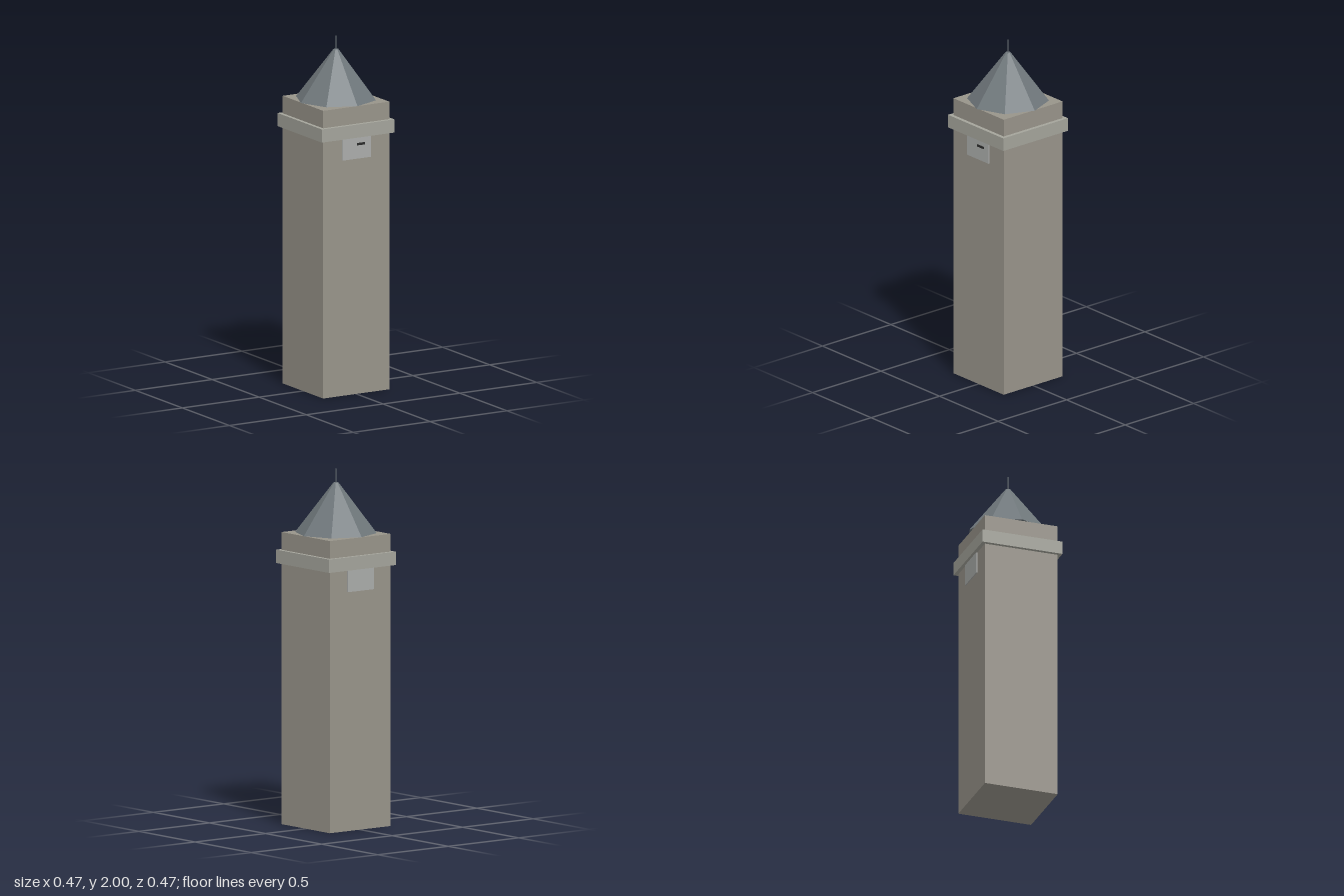
import * as THREE from 'three';

const paint = (color) => new THREE.MeshStandardMaterial({ color, flatShading: true });

export function createModel() {
  const tower = new THREE.Group();
  tower.name = 'clockTower';

  const stone = paint(0x98948a);
  const trim = paint(0xa4a49b);
  const slate = paint(0x6f777b);
  const dial = paint(0xaaacaa);
  const dark = paint(0x2a2a2a);

  const add = (name, geometry, material, x, y, z) => {
    const mesh = new THREE.Mesh(geometry, material);
    mesh.name = name;
    mesh.position.set(x, y, z);
    tower.add(mesh);
    return mesh;
  };

  // Square shaft with a projecting band near the top
  add('shaft', new THREE.BoxGeometry(0.43, 1.64, 0.43), stone, 0, 0.82, 0);
  add('cornice', new THREE.BoxGeometry(0.472, 0.075, 0.472), trim, 0, 1.503, 0);

  // Eight-sided roof, blunt at the tip, carrying a thin spire
  add('roof', new THREE.CylinderGeometry(0.015, 0.228, 0.28, 8), slate, 0, 1.783, 0);
  add('spire', new THREE.CylinderGeometry(0.003, 0.003, 0.08, 6), slate, 0, 1.96, 0);

  // Dial plates on front and back, their upper part tucked behind the band
  for (const side of [1, -1]) {
    add(side > 0 ? 'frontDial' : 'backDial',
      new THREE.BoxGeometry(0.184, 0.17, 0.012), dial, 0, 1.427, side * 0.215);
  }

  // Hand on the front dial
  add('clockHand', new THREE.BoxGeometry(0.052, 0.013, 0.006), dark, 0.026, 1.425, 0.222);

  return tower;
}
